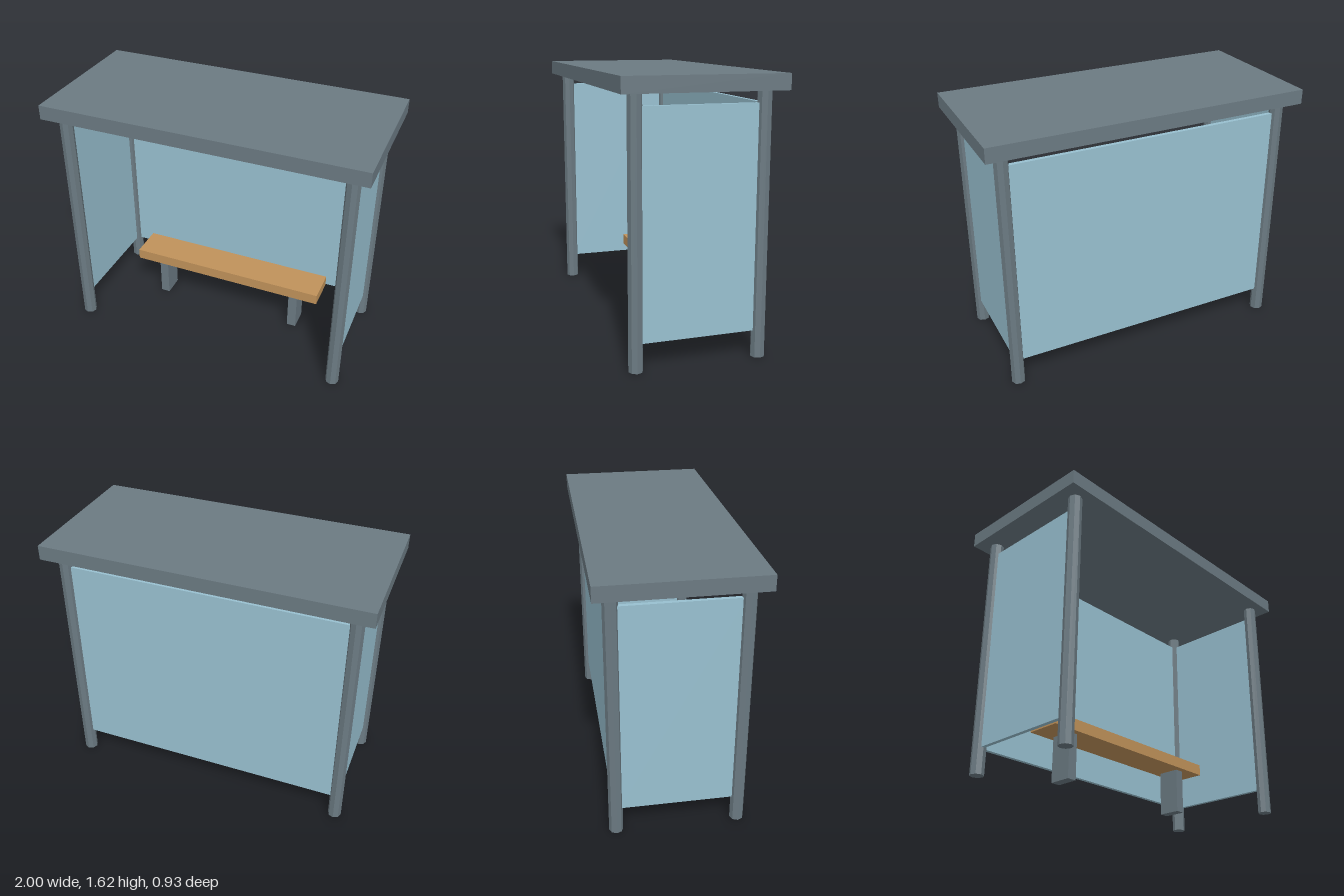
import * as THREE from 'three';

export function createModel() {
  const model = new THREE.Group();
  model.name = 'shelter';

  const metal = new THREE.MeshStandardMaterial({ color: 0x6b7a82, flatShading: true });
  const glass = new THREE.MeshStandardMaterial({ color: 0x98c0d0, flatShading: true });
  const wood = new THREE.MeshStandardMaterial({ color: 0xc0925a, flatShading: true });

  const add = (name, geometry, material, x, y, z) => {
    const mesh = new THREE.Mesh(geometry, material);
    mesh.name = name;
    mesh.position.set(x, y, z);
    model.add(mesh);
  };
  const box = (w, h, d) => new THREE.BoxGeometry(w, h, d);

  const postX = 0.89, postZ = 0.365, postHeight = 1.53;

  // Flat roof slab
  add('roof', box(2, 0.09, 0.93), metal, 0, postHeight + 0.045, 0);

  // Back pane, set between the rear posts
  add('backPanel', box(1.74, 1.3, 0.025), glass, 0, 0.81, -postZ);

  // Bench seat
  add('benchSeat', box(1.32, 0.07, 0.22), wood, 0, 0.315, -0.09);

  for (const [label, s] of [['right', -1], ['left', 1]]) {
    // Octagonal corner posts
    for (const [end, t] of [['Front', 1], ['Back', -1]]) {
      add(`${label}${end}Post`, new THREE.CylinderGeometry(0.042, 0.042, postHeight, 8), metal,
        s * postX, postHeight / 2, t * postZ);
    }
    // Side pane and bench leg
    add(`${label}Panel`, box(0.025, 1.3, 0.69), glass, s * postX, 0.81, 0);
    add(`${label}BenchLeg`, box(0.06, 0.28, 0.14), metal, s * 0.485, 0.14, -0.09);
  }

  return model;
}
